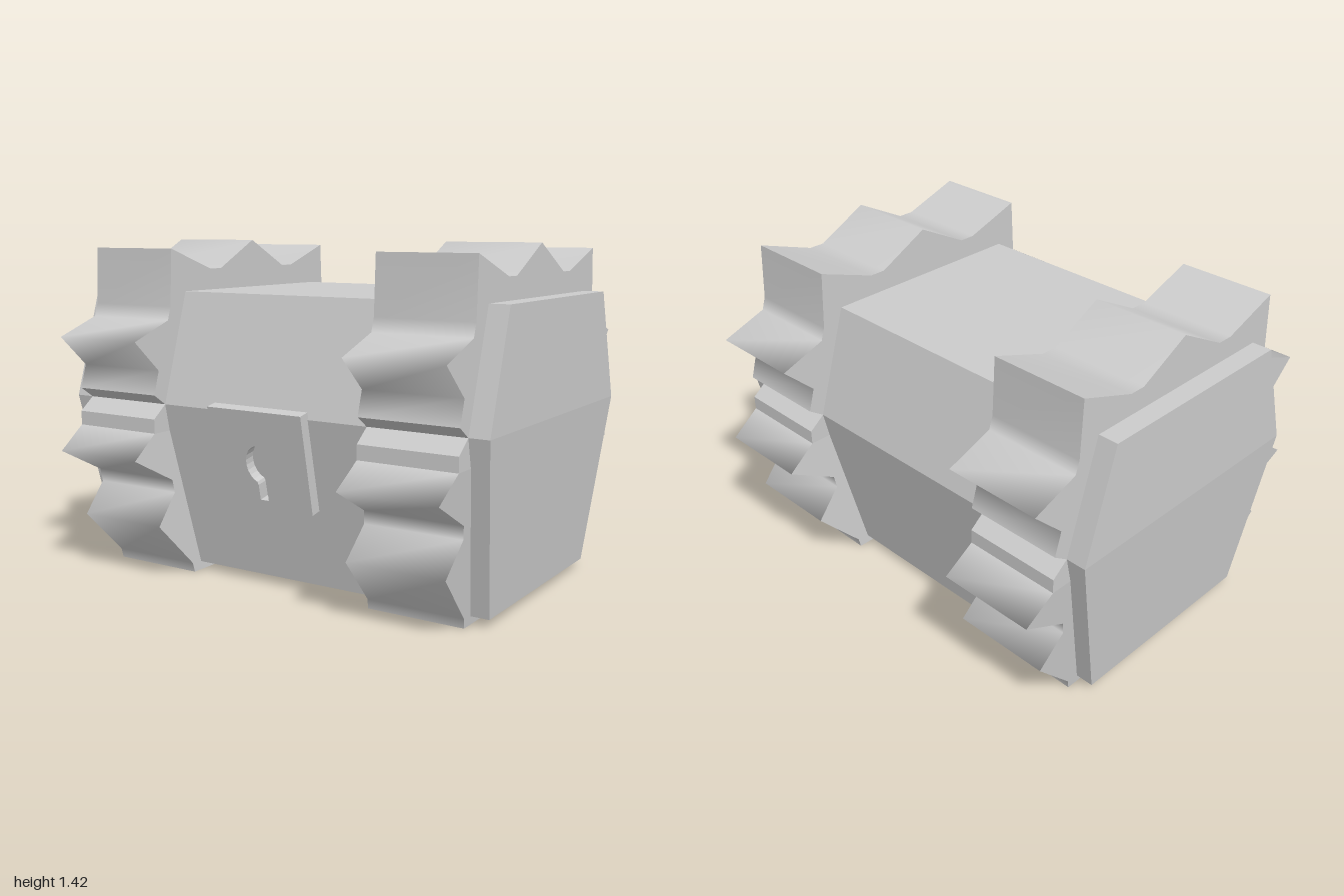
import * as THREE from 'three';
import { mergeGeometries } from 'three/addons/utils/BufferGeometryUtils.js';

const material = new THREE.MeshStandardMaterial({ color: 0xcccccc });

// One smooth-shaded strip along [z, y] points, spanning lo(y)..hi(y) in x
function strip(points, lo, hi) {
  const pos = [], index = [];
  points.forEach(([z, y], i) => {
    pos.push(lo(y), y, z, hi(y), y, z);
    const a = i * 2;
    if (i < points.length - 1) index.push(a, a + 2, a + 1, a + 1, a + 2, a + 3);
  });
  const g = new THREE.BufferGeometry();
  g.setAttribute('position', new THREE.Float32BufferAttribute(pos, 3));
  g.setIndex(index);
  g.computeVertexNormals();
  return g;
}

// Flat end face; outline is [z, y], x follows edge(y)
function cap(outline, edge, flip) {
  const g = new THREE.ShapeGeometry(new THREE.Shape(outline.map(p => new THREE.Vector2(...p))));
  const p = g.attributes.position;
  for (let i = 0; i < p.count; i++) p.setXYZ(i, edge(p.getY(i)), p.getY(i), p.getX(i));
  if (flip) g.setIndex([...g.index.array].reverse());
  else g.setIndex([...g.index.array]);
  g.deleteAttribute('uv');
  g.computeVertexNormals();
  return g;
}

// Solid from a front-half profile mirrored in z. Each run is smooth, run ends are hard edges.
// Below bendY the ends slope inwards, so each cap is made of two planar pieces.
function mirroredSolid(halfTop, sideRuns, lo, hi, bendY) {
  const mirror = run => run.map(([z, y]) => [-z, y]).reverse();
  const top = [...mirror(halfTop).filter(p => p[0] !== 0), ...halfTop];
  const [bz, by] = sideRuns.at(-1).at(-1);
  const runs = [top, ...sideRuns, [[bz, by], [-bz, by]], ...sideRuns.map(mirror).reverse()];
  const outline = runs.flatMap(run => run.slice(0, -1));
  const parts = runs.map(run => strip(run, lo, hi));
  for (const piece of [outline.filter(p => p[1] >= bendY), outline.filter(p => p[1] <= bendY)]) {
    parts.push(cap(piece, lo, false), cap(piece, hi, true));
  }
  return mergeGeometries(parts);
}

export function createModel() {
  const group = new THREE.Group();
  const add = (name, geometry) => {
    const mesh = new THREE.Mesh(geometry, material);
    mesh.name = name;
    group.add(mesh);
    return mesh;
  };

  // Six-sided chest body, tapering below the lid line
  const halfLength = y => 1 - 0.06 * Math.max(0, 0.745 - y) / 0.715;
  add('chestBody', mirroredSolid(
    [[0, 1.21], [0.47, 1.21]],
    [[[0.47, 1.21], [0.615, 0.745]], [[0.615, 0.745], [0.465, 0.035]]],
    y => -halfLength(y), halfLength, 0.745));

  // Two spiked bands wrapped around the chest
  const bandTop = [[0, 1.42], [0.23, 1.3], [0.3, 1.3], [0.555, 1.39]];
  const bandSide = [
    [[0.555, 1.39], [0.567, 1.15], [0.585, 1.095], [0.788, 1.02], [0.65, 0.89], [0.68, 0.79]],
    [[0.68, 0.79], [0.615, 0.745]],
    [[0.615, 0.745], [0.685, 0.69]],
    [[0.685, 0.69], [0.685, 0.63]],
    [[0.685, 0.63], [0.815, 0.535], [0.602, 0.42], [0.594, 0.365], [0.708, 0.24], [0.52, 0.04], [0.512, 0]],
  ];
  for (const side of [1, -1]) {
    const centre = y => side * (0.705 - 0.055 * Math.max(0, 0.63 - y) / 0.63);
    add(side > 0 ? 'leftSpikedBand' : 'rightSpikedBand', mirroredSolid(
      bandTop, bandSide, y => centre(y) - 0.21, y => centre(y) + 0.21, 0.63));
  }

  // Lock plate with a keyhole, leaning with the front wall
  const plate = new THREE.Shape([
    [-0.228, 0], [-0.228, -0.415], [-0.078, -0.515], [0.078, -0.515], [0.228, -0.415], [0.228, 0],
  ].map(p => new THREE.Vector2(...p)));
  const keyhole = new THREE.Path();
  keyhole.moveTo(-0.02, -0.38);
  keyhole.lineTo(0.02, -0.38);
  keyhole.lineTo(0.02, -0.315);
  keyhole.absellipse(0, -0.227, 0.068, 0.081, -1.2, Math.PI + 1.2, false);
  keyhole.lineTo(-0.02, -0.315);
  plate.holes.push(keyhole);
  const lock = add('lockPlate', new THREE.ExtrudeGeometry(plate, {
    depth: 0.05, bevelEnabled: false, curveSegments: 10,
  }));
  lock.position.set(0, 0.775, 0.616);
  lock.rotation.x = 0.2;

  return group;
}
